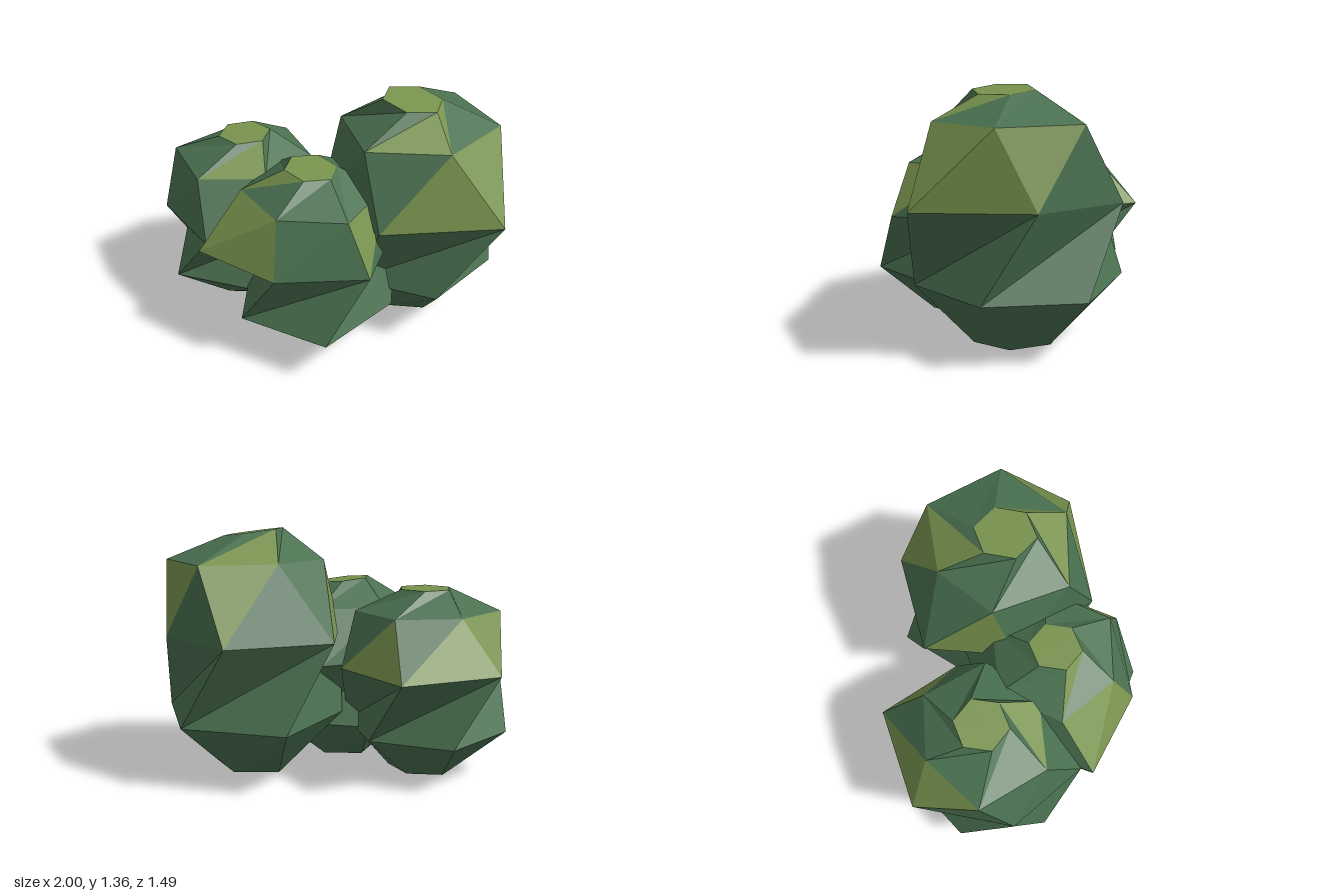
import * as THREE from 'three';

const leafGreen = new THREE.MeshStandardMaterial({ color: 0x4a7150 });
leafGreen.name = 'leaf green';
const sunlitOlive = new THREE.MeshStandardMaterial({ color: 0x78934e });
sunlitOlive.name = 'olive green';

const SIDES = 6;

// Each clump has a centre [x, z] and five cross-sections: foot, lower, middle, shoulder, crown,
// each with a height, a twist in degrees and slightly uneven radii.
// "turn" nudges the corners of the middle section; "tilt" slopes the crown sideways.
// "olive" lists the lighter facets: layer, side, and A (lower) or B (upper) triangle.
const clumps = [
  {
    name: 'tallClump', centre: [0.425, -0.16], heights: [0.025, 0.34, 0.79, 1.19, 1.34],
    twist: [-16, -30, 0, -22, 0],
    lower: [0.47, 0.52, 0.5, 0.55, 0.61, 0.51],
    middle: [0.57, 0.665, 0.49, 0.58, 0.61, 0.5],
    turn: [-5, 0, 2, 0, -2, -7],
    shoulder: [0.46, 0.43, 0.475, 0.455, 0.35, 0.4],
    crown: 0.17, crownShift: 0.05, tilt: -0.13,
    olive: '2-0A 2-1A 2-1B 2-2B 2-3B 2-4A 3-0A 3-1B 3-3A',
  },
  {
    name: 'sideClump', centre: [-0.53, -0.055], heights: [0.015, 0.25, 0.62, 0.91, 1.035],
    twist: [-22, -37, -3, -21, 3],
    lower: [0.52, 0.47, 0.44, 0.44, 0.48, 0.47],
    middle: [0.56, 0.48, 0.495, 0.61, 0.525, 0.49],
    turn: [-1, 1, 3, -4, -4, 4],
    shoulder: [0.4, 0.345, 0.385, 0.375, 0.335, 0.42],
    crown: 0.15, crownShift: 0, tilt: 0,
    olive: '2-2A 2-3A 2-4B 3-0A',
  },
  {
    name: 'frontClump', centre: [-0.04, 0.25], heights: [0.015, 0.265, 0.62, 0.91, 1.045],
    twist: [-24, -36, -5, -14, 2],
    lower: [0.49, 0.545, 0.48, 0.52, 0.5, 0.4],
    middle: [0.485, 0.52, 0.48, 0.53, 0.48, 0.63],
    turn: [-2, -3, 0, 0, 4, 6],
    shoulder: [0.35, 0.385, 0.39, 0.375, 0.37, 0.38],
    crown: 0.145, crownShift: 0, tilt: -0.1,
    olive: '2-5A 2-5B 2-1B 3-5B',
  },
];

// Flat-shaded triangles as a mesh
function facetMesh(name, triangles, material) {
  const geometry = new THREE.BufferGeometry().setFromPoints(triangles.flat());
  geometry.computeVertexNormals();
  const mesh = new THREE.Mesh(geometry, material);
  mesh.name = name;
  return mesh;
}

function makeClump(clump) {
  const { lower, middle, shoulder, crown, heights, twist, turn, olive } = clump;
  const [cx, cz] = clump.centre;

  // Corners of each cross-section run front, right, back, left
  const foot = lower.map(r => r * 0.43);
  const rings = [foot, lower, middle, shoulder, Array(SIDES).fill(crown)].map((radii, k) =>
    radii.map((radius, i) => {
      const nudge = k === 2 ? turn[i] : 0;
      const angle = THREE.MathUtils.degToRad(twist[k] + nudge + (i * 360) / SIDES);
      return new THREE.Vector3(
        cx + radius * Math.sin(angle), heights[k], cz + radius * Math.cos(angle));
    }));
  for (const p of rings[4]) {
    p.y += clump.tilt * (p.x - cx);
    p.z += clump.crownShift;
  }
  const green = [], light = [];

  // Side facets
  for (let k = 0; k < 4; k++) {
    for (let i = 0; i < SIDES; i++) {
      const j = (i + 1) % SIDES;
      const [a, b, c, d] = [rings[k][i], rings[k][j], rings[k + 1][i], rings[k + 1][j]];
      (olive.includes(`${k}-${i}A`) ? light : green).push([a, b, d]);
      (olive.includes(`${k}-${i}B`) ? light : green).push([a, d, c]);
    }
  }

  // Flat crown and underside
  const top = new THREE.Vector3(cx, heights[4], cz + clump.crownShift);
  const bottom = new THREE.Vector3(cx, 0, cz);
  for (let i = 0; i < SIDES; i++) {
    const j = (i + 1) % SIDES;
    light.push([rings[4][i], rings[4][j], top]);
    green.push([rings[0][j], rings[0][i], bottom]);
  }

  const group = new THREE.Group();
  group.name = clump.name;
  group.add(facetMesh('foliage', green, leafGreen), facetMesh('lightFoliage', light, sunlitOlive));
  return group;
}

export function createModel() {
  const bush = new THREE.Group();
  bush.name = 'bush';
  for (const clump of clumps) bush.add(makeClump(clump));
  return bush;
}
